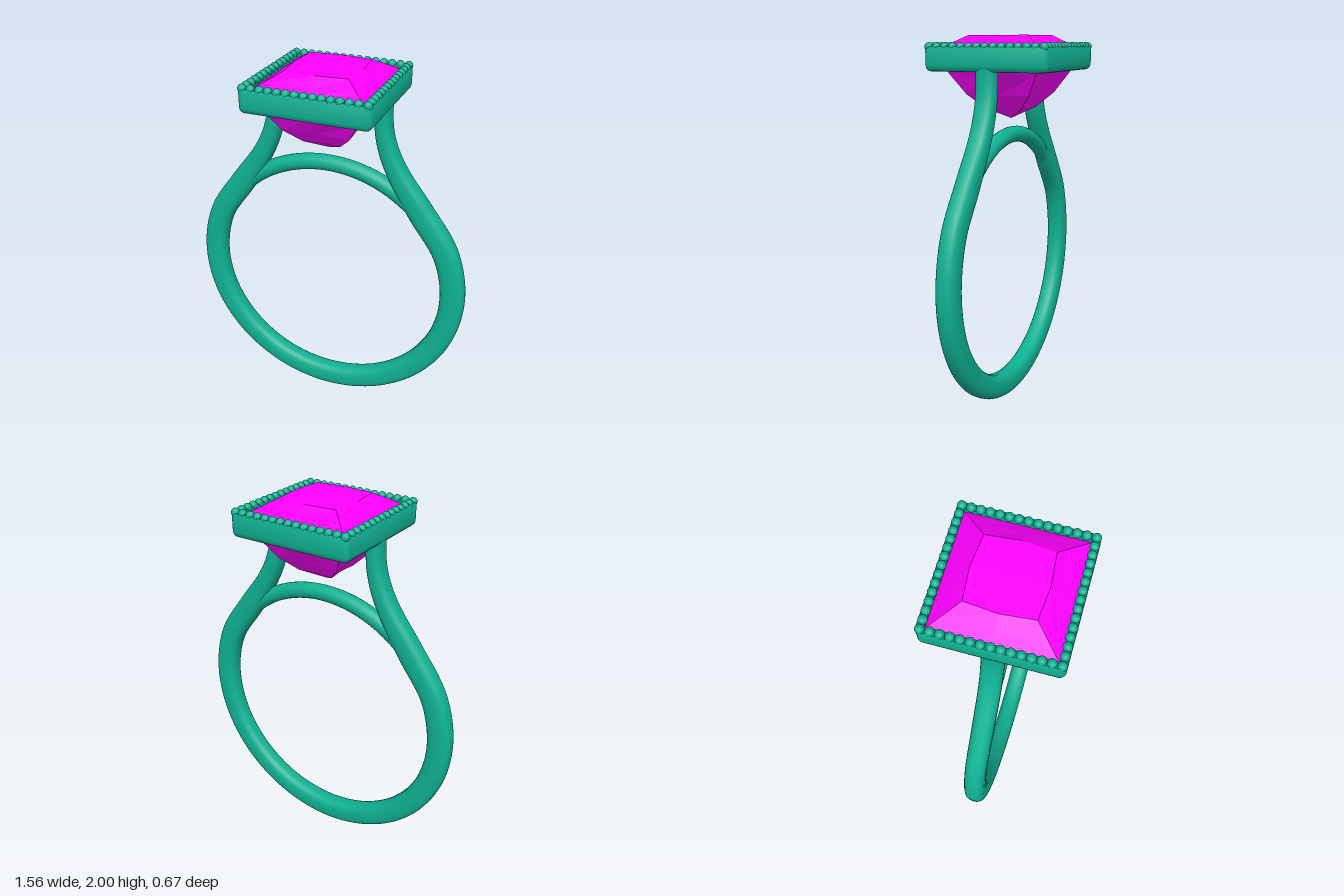
import * as THREE from 'three';
import { toCreasedNormals } from 'three/addons/utils/BufferGeometryUtils.js';

const metal = new THREE.MeshStandardMaterial({ color: 0x0fb092 });
const gem = new THREE.MeshStandardMaterial({ color: 0xff00ff, flatShading: true });

// Skin between rows of points; every row is a closed loop.
function loft(rows, closed = false) {
  const n = rows[0].length, pos = rows.flat(2), idx = [];
  const last = closed ? rows.length : rows.length - 1;
  for (let i = 0; i < last; i++) {
    const k = (i + 1) % rows.length;
    for (let j = 0; j < n; j++) {
      const m = (j + 1) % n;
      const a = i * n + j, b = i * n + m, c = k * n + m, d = k * n + j;
      idx.push(a, b, c, a, c, d);
    }
  }
  const g = new THREE.BufferGeometry();
  g.setAttribute('position', new THREE.Float32BufferAttribute(pos, 3));
  g.setIndex(idx);
  g.computeVertexNormals();
  return g;
}

function addMesh(parent, name, geometry, material) {
  const mesh = new THREE.Mesh(geometry, material);
  mesh.name = name;
  parent.add(mesh);
  return mesh;
}

const CENTRE_Y = 0.785;

// Band and shoulders: one rounded section swept around the finger and up to the head.
function shankGeometry() {
  const half = []; // x, y, half thickness, from the bottom up the +x side
  for (let deg = -67.5; deg <= 45; deg += 22.5) {
    const a = THREE.MathUtils.degToRad(deg);
    half.push([0.715 * Math.cos(a), CENTRE_Y + 0.715 * Math.sin(a), 0.067]);
  }
  half.push([0.385, 1.47, 0.054], [0.332, 1.575, 0.049], [0.3, 1.68, 0.045], [0.29, 1.77, 0.043], [0.289, 1.87, 0.043]);
  const left = half.map(([x, y, h]) => [-x, y, h]).reverse();
  const curve = new THREE.CatmullRomCurve3(
    [...left, [0, CENTRE_Y - 0.715, 0.068], ...half].map((p) => new THREE.Vector3(...p)));
  const rows = [];
  const soft = (v) => Math.sign(v) * Math.pow(Math.abs(v), 0.78);
  for (let i = 0; i <= 180; i++) {
    const p = curve.getPoint(i / 180), t = curve.getTangent(i / 180);
    const len = Math.hypot(t.x, t.y), nx = t.y / len, ny = -t.x / len;
    const row = [];
    for (let j = 0; j < 28; j++) {
      const a = (j / 28) * Math.PI * 2, r = p.z * soft(Math.cos(a));
      row.push([p.x + nx * r, p.y + ny * r, -0.055 * soft(Math.sin(a))]);
    }
    rows.push(row);
  }
  return loft(rows);
}

// Square loop with rounded corners, counterclockwise from above.
function squareLoop(h, y) {
  const r = Math.max(0.002, h - 0.305), row = [];
  for (let q = 0; q < 4; q++) {
    for (let s = 0; s <= 5; s++) {
      const a = (q + s / 5) * Math.PI / 2, m = (q + 0.5) * Math.PI / 2;
      const cx = Math.sign(Math.cos(m)) * (h - r), cz = -Math.sign(Math.sin(m)) * (h - r);
      row.push([cx + r * Math.cos(a), y, cz - r * Math.sin(a)]);
    }
  }
  return row;
}

// Stone level: corners at c, side midpoints at m.
function stoneLoop([c, m, y]) {
  return [[m, y, 0], [c, y, -c], [0, y, -m], [-c, y, -c], [-m, y, 0], [-c, y, c], [0, y, m], [c, y, c]];
}

export function createModel() {
  const ring = new THREE.Group();
  ring.name = 'ring';

  addMesh(ring, 'shank', shankGeometry(), metal);

  // Thin arch that closes the finger hole under the stone
  const span = THREE.MathUtils.degToRad(100);
  const bridge = addMesh(ring, 'bridge', new THREE.TorusGeometry(0.696, 0.043, 20, 60, span), metal);
  bridge.position.y = CENTRE_Y;
  bridge.rotation.z = Math.PI / 2 - span / 2;

  // Square bezel with a sloping seat inside
  const head = new THREE.Group();
  head.name = 'head';
  ring.add(head);
  const profile = [[0.25, 1.82], [0.307, 1.82], [0.321, 1.824], [0.331, 1.834], [0.335, 1.85],
    [0.335, 1.935], [0.33, 1.943], [0.297, 1.943], [0.297, 1.9], [0.25, 1.83]];
  const bezel = loft(profile.map(([h, y]) => squareLoop(h, y)), true);
  addMesh(head, 'bezel', toCreasedNormals(bezel, 0.6), metal);

  // Row of beads along the rim
  const beads = new THREE.Group();
  beads.name = 'beads';
  head.add(beads);
  const beadGeometry = new THREE.SphereGeometry(0.0225, 14, 10);
  const count = 14, reach = 0.313;
  for (let side = 0; side < 4; side++) {
    for (let i = 0; i < count; i++) {
      const u = -reach + (2 * reach * i) / count;
      const bead = addMesh(beads, 'bead', beadGeometry, metal);
      bead.position.set(u, 1.942, reach).applyAxisAngle(new THREE.Vector3(0, 1, 0), side * Math.PI / 2);
    }
  }

  // Square-cut stone: pointed pavilion, girdle, bevelled crown and flat table
  const levels = [[0, 0, 1.57], [0.1, 0.09, 1.625], [0.175, 0.155, 1.7], [0.242, 0.235, 1.81], [0.297, 0.297, 1.9],
    [0.297, 0.297, 1.92], [0.24, 0.247, 1.955], [0.165, 0.18, 2], [0, 0, 2]];
  addMesh(head, 'stone', loft(levels.map(stoneLoop)).toNonIndexed(), gem).geometry.computeVertexNormals();

  return ring;
}
